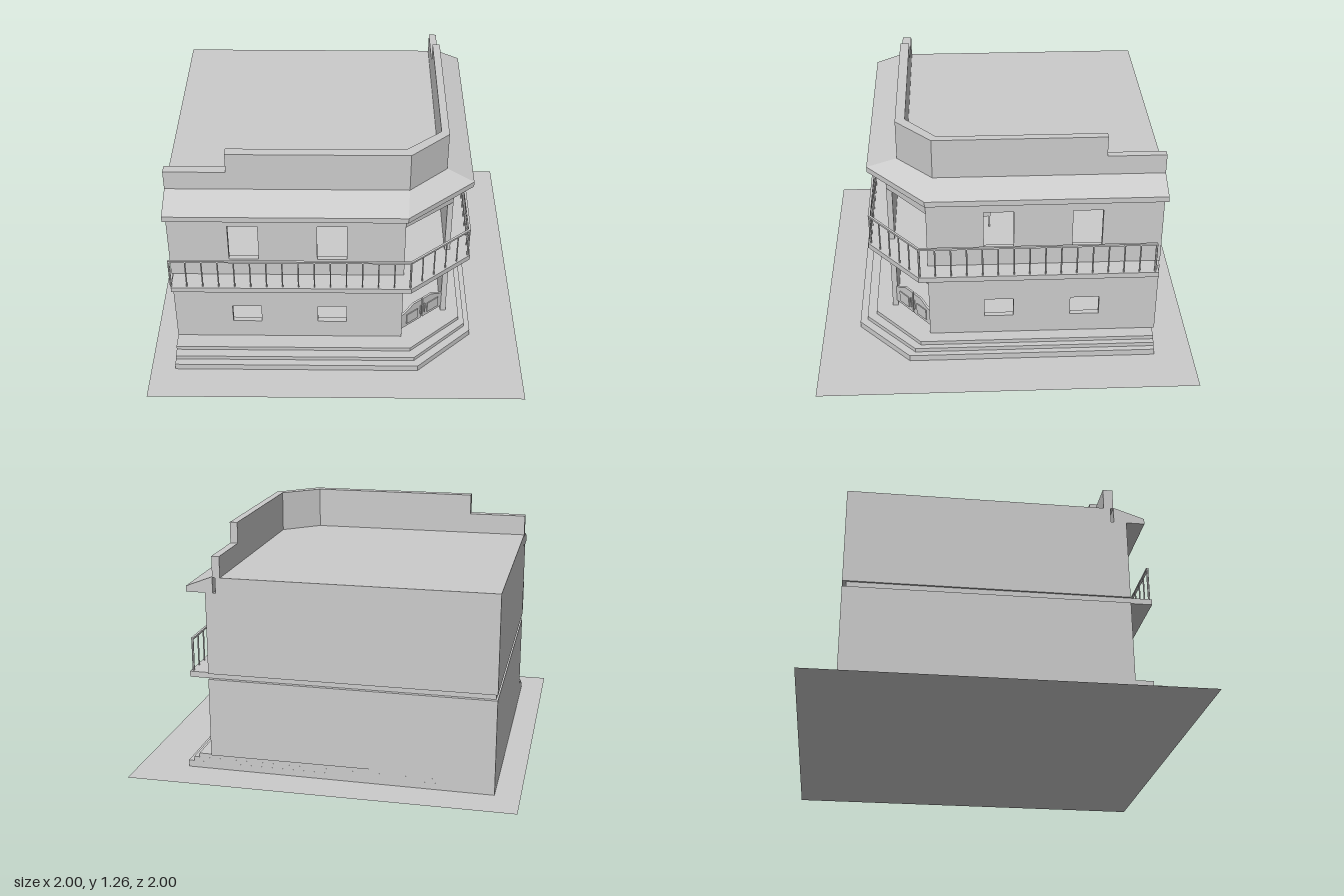
import * as THREE from 'three';

const mat = new THREE.MeshStandardMaterial({ color: 0xcccccc, flatShading: true, side: THREE.DoubleSide });
const L = -0.87, B = -0.81;

export function createModel() {
  const model = new THREE.Group();
  const add = (name, geo, parent = model) => {
    const m = new THREE.Mesh(geo, mat);
    m.name = name;
    parent.add(m);
    return m;
  };
  const box = (name, x0, x1, y0, y1, z0, z1, parent) =>
    add(name, new THREE.BoxGeometry(x1 - x0, y1 - y0, z1 - z0)
      .translate((x0 + x1) / 2, (y0 + y1) / 2, (z0 + z1) / 2), parent);

  // Plan outline [x, z] extruded upward from y0 to y1
  const slab = (name, pts, y0, y1) => {
    const shape = new THREE.Shape(pts.map(([x, z]) => new THREE.Vector2(x, -z)));
    const geo = new THREE.ExtrudeGeometry(shape, { depth: y1 - y0, bevelEnabled: false });
    return add(name, geo.rotateX(-Math.PI / 2).translate(0, y0, 0));
  };
  // Street edge: along the front, across the cut corner, along the right side
  const edge = (X, Z, xc, zc, x0 = L, z0 = B) => [[x0, Z], [xc, Z], [X, zc], [X, z0]];
  const plan = (e) => [...e, [L, B]];

  // Ground and stepped plinth
  add('ground', new THREE.PlaneGeometry(2, 2).rotateX(-Math.PI / 2));
  slab('lowerStep', plan(edge(0.74, 0.8, 0.44, 0.52, L, -0.795)), 0, 0.035);
  slab('middleStep', plan(edge(0.71, 0.76, 0.42, 0.49, L, -0.795)), 0.035, 0.058);
  slab('topStep', plan(edge(0.68, 0.71, 0.4, 0.46, L, -0.795)), 0.058, 0.08);

  // Upper floor and balcony, set in slightly at the two plain sides
  slab('balconyFloor', [...edge(0.715, 0.73, 0.39, 0.455, -0.86, -0.79), [-0.86, -0.79]], 0.5, 0.53);

  // Wall with window holes, given along its own length; outer face at local z = 0
  const wall = (name, a0, a1, y0, y1, wins = []) => {
    const rect = (T, l, r, b, t) => {
      const s = new T();
      s.moveTo(l, b); s.lineTo(r, b); s.lineTo(r, t); s.lineTo(l, t); s.closePath();
      return s;
    };
    const shape = rect(THREE.Shape, a0, a1, y0, y1);
    wins.forEach((w) => shape.holes.push(rect(THREE.Path, ...w)));
    const geo = new THREE.ExtrudeGeometry(shape, { depth: 0.03, bevelEnabled: false });
    return add(name, geo.translate(0, 0, -0.03));
  };
  const corner = new THREE.Group();
  corner.name = 'cornerEntrance';
  corner.position.set(0.4825, 0, 0.515);
  corner.rotation.y = Math.atan2(0.21, 0.255);
  model.add(corner);
  for (const [storey, y0, y1, wb, wt, lintel] of [
    ['lower', 0.08, 0.5, 0.19, 0.3, 0.41], ['upper', 0.53, 0.96, 0.635, 0.855, 0.855]]) {
    wall(storey + 'FrontWall', L, 0.355, y0, y1,
      [[-0.56, -0.405, wb, wt], [-0.1, 0.055, wb, wt]]).position.z = 0.62;
    const right = wall(storey + 'RightWall', -0.41, -B, y0, y1,
      [[-0.115, 0.04, wb, wt], [0.345, 0.5, wb, wt]]);
    right.rotation.y = Math.PI / 2;
    right.position.x = 0.61;
    box(storey + 'LeftWall', L, L + 0.03, y0, y1, B, 0.59);
    box(storey + 'BackWall', L + 0.03, 0.58, y0, y1, B, B + 0.03);
    box(storey + 'Lintel', -0.165, 0.165, lintel, y1, -0.03, 0, corner);
  }

  // Pair of swinging half doors with raised panels
  for (const s of [-1, 1]) {
    const leaf = new THREE.Shape([[0.15, 0.115], [0.004, 0.115], [0.004, 0.25], [0.065, 0.25],
      [0.115, 0.222], [0.15, 0.212]].map(([x, y]) => new THREE.Vector2(s * x, y)));
    const geo = new THREE.ExtrudeGeometry(leaf, { depth: 0.012, bevelEnabled: false });
    add('swingDoor', geo.translate(0, 0, -0.03), corner);
    box('doorPanel', s * 0.075 - 0.04, s * 0.075 + 0.04, 0.135, 0.2, -0.018, -0.013, corner);
    box('doorHandle', s * 0.014 - 0.003, s * 0.014 + 0.003, 0.15, 0.21, -0.018, -0.01, corner);
  }

  // Roof deck, sloping eave and stepped parapet
  slab('roofDeck', plan(edge(0.555, 0.54, 0.36, 0.36)), 0.96, 1.04);
  const rings = [[edge(0.57, 0.555, 0.37, 0.37), 0.96], [edge(0.71, 0.715, 0.36, 0.41), 0.96],
    [edge(0.71, 0.715, 0.36, 0.41), 0.99], [edge(0.57, 0.555, 0.37, 0.37), 1.045]];
  const pos = [], idx = [];
  for (let i = 0; i < 4; i++) for (const [e, y] of rings) pos.push(e[i][0], y, e[i][1]);
  for (let i = 0; i < 3; i++) for (let j = 0; j < 4; j++) {
    const a = i * 4 + j, b = i * 4 + (j + 1) % 4;
    idx.push(a, a + 4, b, b, a + 4, b + 4);
  }
  idx.push(0, 1, 2, 0, 2, 3, 12, 14, 13, 12, 15, 14);
  const eave = new THREE.BufferGeometry();
  eave.setAttribute('position', new THREE.Float32BufferAttribute(pos, 3));
  eave.setIndex(idx);
  const flatEave = eave.toNonIndexed();
  flatEave.computeVertexNormals();
  add('eave', flatEave);
  const parapet = (name, x0, z0, y0, y1) => slab(name,
    [...edge(0.57, 0.555, 0.37, 0.37, x0, z0), ...edge(0.53, 0.505, 0.345, 0.345, x0, z0).reverse()], y0, y1);
  parapet('lowerParapet', L, B, 1.04, 1.15);
  parapet('raisedParapet', -0.555, -0.51, 1.15, 1.26);

  // Balcony railing
  const rail = edge(0.702, 0.716, 0.385, 0.45, -0.86, -0.77);
  [15, 5, 15].forEach((n, k) => {
    const [[ax, az], [bx, bz]] = [rail[k], rail[k + 1]];
    const len = Math.hypot(bx - ax, bz - az);
    const bar = add('handrail', new THREE.BoxGeometry(len + 0.008, 0.01, 0.012));
    bar.position.set((ax + bx) / 2, 0.7, (az + bz) / 2);
    bar.rotation.y = Math.atan2(az - bz, bx - ax);
    for (let i = k ? 1 : 0; i <= n; i++) {
      const t = i / n, r = i % n ? 0.004 : 0.006;
      add('baluster', new THREE.CylinderGeometry(r, r, 0.17, 6))
        .position.set(ax + (bx - ax) * t, 0.615, az + (bz - az) * t);
    }
  });

  // Simple furniture seen through the openings
  box('barCounter', -0.8, -0.35, 0.08, 0.22, -0.3, -0.2);
  box('barTop', -0.82, -0.33, 0.22, 0.235, -0.32, -0.17);
  for (const y of [0.2, 0.27, 0.34]) box('bottleShelf', -0.82, -0.3, y, y + 0.012, -0.78, -0.7);
  for (const [x, y, z] of [[-0.06, 0.08, 0.25], [0.25, 0.08, -0.3], [0.1, 0.53, 0.1]]) {
    const table = new THREE.Group();
    table.name = 'table';
    table.position.set(x, y, z);
    model.add(table);
    add('tableTop', new THREE.CylinderGeometry(0.08, 0.08, 0.014, 12).translate(0, 0.135, 0), table);
    add('tableLeg', new THREE.CylinderGeometry(0.012, 0.02, 0.13, 8).translate(0, 0.065, 0), table);
    for (const s of [-1, 1]) {
      box('chairSeat', s * 0.13 - 0.03, s * 0.13 + 0.03, 0.07, 0.08, -0.03, 0.03, table);
      box('chairBack', s * 0.16 - 0.004, s * 0.16 + 0.004, 0.08, 0.16, -0.03, 0.03, table);
      for (const u of [-0.025, 0.025]) for (const v of [-0.025, 0.025])
        box('chairLeg', s * 0.13 + u - 0.004, s * 0.13 + u + 0.004, 0, 0.07, v - 0.004, v + 0.004, table);
    }
  }
  // Hanging wheel lamp on each floor
  for (const y of [0.5, 0.96]) {
    add('lampRod', new THREE.CylinderGeometry(0.004, 0.004, 0.1, 6)).position.set(0.15, y - 0.05, 0.15);
    add('lampRing', new THREE.TorusGeometry(0.08, 0.006, 6, 16).rotateX(Math.PI / 2)).position.set(0.15, y - 0.1, 0.15);
    for (const a of [0, Math.PI / 2]) {
      const spoke = add('lampSpoke', new THREE.BoxGeometry(0.16, 0.008, 0.008));
      spoke.position.set(0.15, y - 0.1, 0.15);
      spoke.rotation.y = a;
    }
  }
  return model;
}
